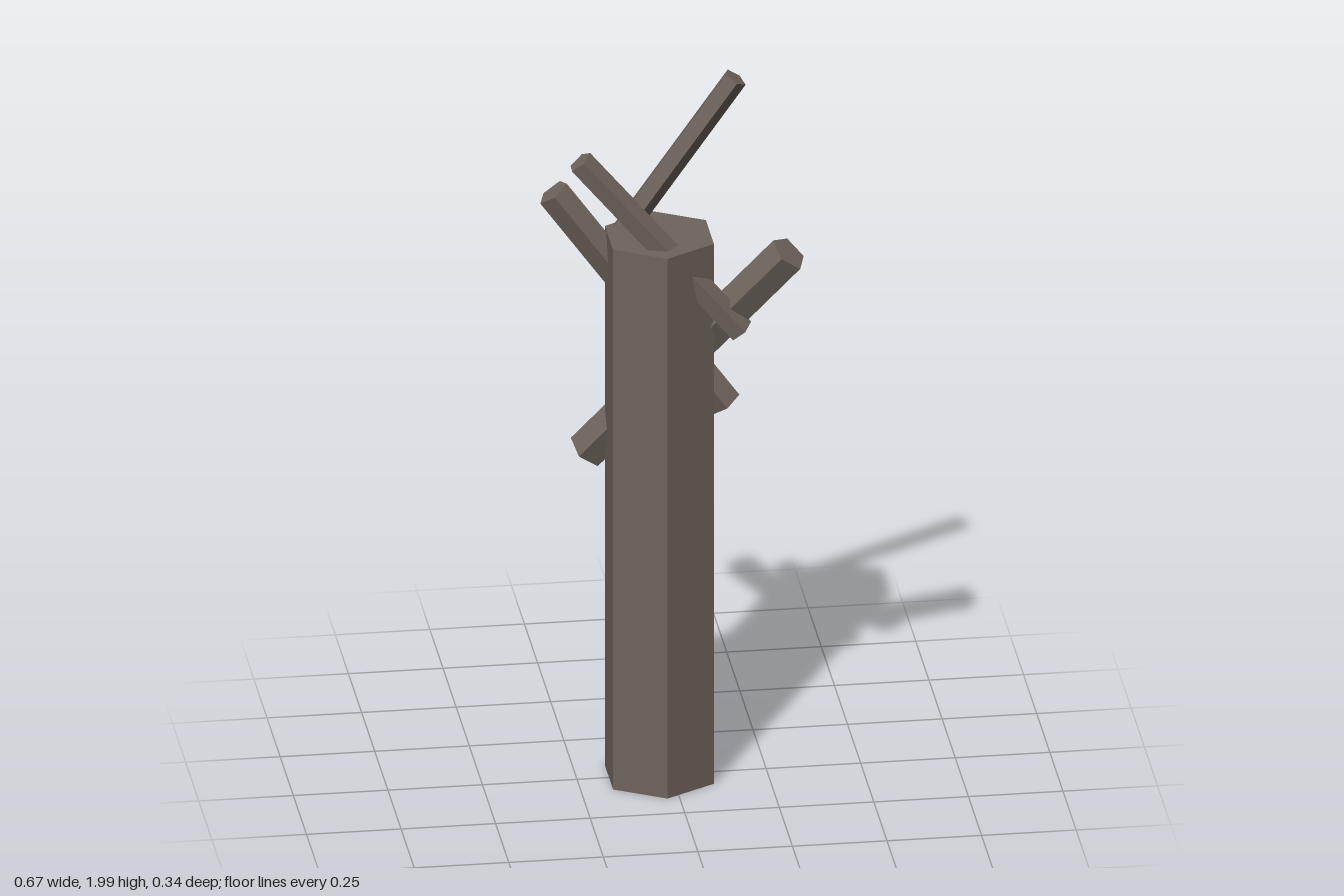
import * as THREE from 'three';

const bark = new THREE.MeshStandardMaterial({ color: 0x6e645c, flatShading: true });

// Five-sided branch from its low end to its tip; (cornerX, cornerZ) is the
// direction, seen from above, in which one corner of the section points.
function branch(name, radius, low, tip, [cornerX, cornerZ]) {
  const a = new THREE.Vector3(...low);
  const b = new THREE.Vector3(...tip);
  const axis = b.clone().sub(a);
  const length = axis.length();
  axis.normalize();
  const corner = new THREE.Vector3(cornerX, -(cornerX * axis.x + cornerZ * axis.z) / axis.y, cornerZ).normalize();
  const side = new THREE.Vector3().crossVectors(axis, corner);

  const mesh = new THREE.Mesh(new THREE.CylinderGeometry(radius, radius, length, 5), bark);
  mesh.name = name;
  mesh.quaternion.setFromRotationMatrix(new THREE.Matrix4().makeBasis(side, axis, corner));
  mesh.position.copy(a).add(b).multiplyScalar(0.5);
  return mesh;
}

export function createModel() {
  const model = new THREE.Group();
  model.name = 'deadTree';

  // Hexagonal trunk
  const trunk = new THREE.Mesh(new THREE.CylinderGeometry(0.154, 0.154, 1.55, 6), bark);
  trunk.name = 'trunk';
  trunk.position.set(-0.032, 0.775, 0);
  model.add(trunk);

  // Branches, most of which pass right through the trunk
  model.add(
    branch('topBranch', 0.033, [-0.145, 1.5, -0.072], [0.172, 1.977, -0.027], [0, 1]),
    branch('frontBranch', 0.036, [0.17, 1.305, 0.093], [-0.25, 1.797, 0.052], [1, 0]),
    branch('backBranch', 0.046, [0.145, 1.05, -0.016], [-0.302, 1.654, -0.082], [-0.04, 1]),
    branch('thickBranch', 0.054, [-0.208, 0.89, -0.12], [0.294, 1.533, 0.121], [0.03, -1]),
  );
  return model;
}
